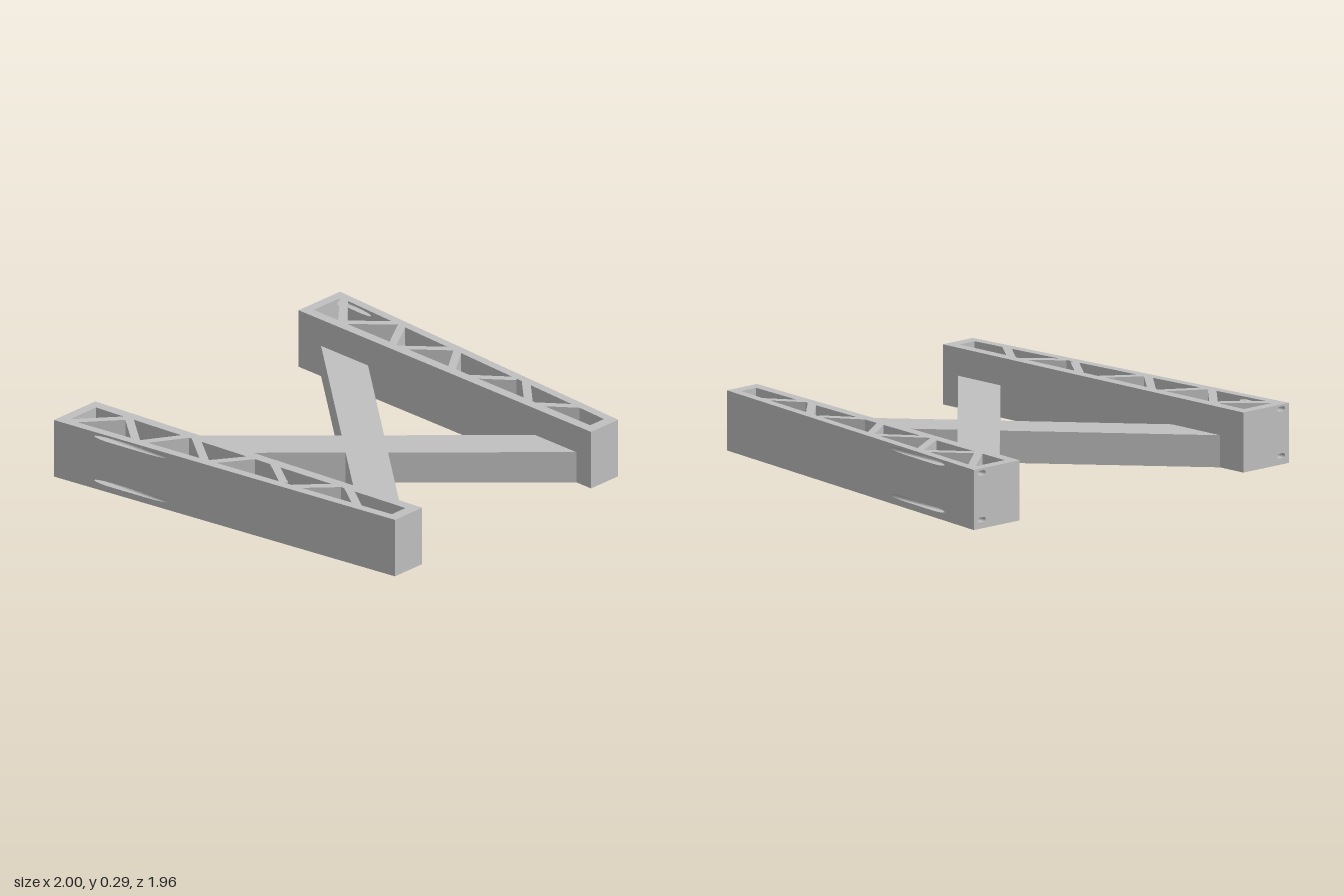
import * as THREE from 'three';

const H = 0.29;            // truss height
const BEAM_H = 0.155;      // cross brace height
const SPLIT = 0.95;        // x of the slot centres
const SLOT_Y = [0.042, 0.268];
const SLOT_R = 0.0115;
const SLOT_HALF = 0.024;

// z of the slanted outer face at a given x, and its thickness along z
const outerZ = (x) => 0.98 - ((x - 0.78) / 0.22) * 1.96;
const WALL_D = outerZ(SPLIT) + 0.93;

// Vertical prism from a plan outline of [x, z] points
function prism(points, height) {
  const shape = new THREE.Shape(points.map(([x, z]) => new THREE.Vector2(x, -z)));
  return new THREE.ExtrudeGeometry(shape, { depth: height, bevelEnabled: false }).rotateX(-Math.PI / 2);
}

// Wall with half slots along the edge x = SPLIT, running from frontZ(x) to backZ(x)
function slottedWall(side, farX, frontZ, backZ) {
  const dir = Math.sign(farX - SPLIT);
  const pts = [[farX, 0], [SPLIT, 0]];
  for (const y of SLOT_Y) {
    pts.push([SPLIT, y - SLOT_R]);
    for (let i = 0; i <= 8; i++) {
      const a = -Math.PI / 2 + (Math.PI * i) / 8;
      pts.push([SPLIT + dir * (SLOT_HALF - SLOT_R + SLOT_R * Math.cos(a)), y + SLOT_R * Math.sin(a)]);
    }
    pts.push([SPLIT, y + SLOT_R]);
  }
  pts.push([SPLIT, H], [farX, H]);
  const shape = new THREE.Shape(pts.map(([x, y]) => new THREE.Vector2(side * x, y)));
  const geo = new THREE.ExtrudeGeometry(shape, { depth: 1, bevelEnabled: false });
  const p = geo.attributes.position;
  for (let i = 0; i < p.count; i++) {
    const x = Math.abs(p.getX(i));
    p.setZ(i, p.getZ(i) > 0.5 ? frontZ(x) : backZ(x));
  }
  geo.computeVertexNormals();
  return geo;
}

// Diagonal strut between two plan points, its ends buried in the walls
function strut(side, [x0, z0, x1, z1]) {
  const a = new THREE.Vector2(side * x0, z0);
  const b = new THREE.Vector2(side * x1, z1);
  const d = b.clone().sub(a).normalize();
  a.addScaledVector(d, -0.022);
  b.addScaledVector(d, 0.022);
  const nx = -d.y * 0.02, nz = d.x * 0.02;
  return prism([[a.x + nx, a.y + nz], [b.x + nx, b.y + nz], [b.x - nx, b.y - nz], [a.x - nx, a.y - nz]], H);
}

const STRUTS = [
  [0.95, -0.91, 0.745, -0.735],
  [0.745, -0.735, 0.90, -0.555],
  [0.90, -0.50, 0.725, -0.395],
  [0.72, -0.33, 0.86, -0.155],
  [0.86, -0.11, 0.70, 0.0],
  [0.69, 0.14, 0.80, 0.29],
  [0.80, 0.38, 0.67, 0.51],
  [0.66, 0.58, 0.765, 0.725],
];

export function createModel() {
  const model = new THREE.Group();
  const grey = new THREE.MeshStandardMaterial({ color: 0xc0c0c0 });
  grey.name = 'light grey';

  const add = (parent, name, geo) => {
    const mesh = new THREE.Mesh(geo, grey);
    mesh.name = name;
    parent.add(mesh);
  };

  // Tapered trusses on both sides
  for (const side of [1, -1]) {
    const truss = new THREE.Group();
    truss.name = side > 0 ? 'leftTruss' : 'rightTruss';
    model.add(truss);

    // Inner wall, front wall and front outer corner
    const frame = [
      [0.59, 0.98], [0.78, 0.98], [0.78, 0.98 - WALL_D], [0.741, 0.925],
      [0.645, 0.925], [0.76, -0.93], [0.76, -0.98], [0.71, -0.98],
    ];
    add(truss, 'innerAndFrontWall', prism(frame.map(([x, z]) => [side * x, z]), H));

    // Outer wall, rear corner and rear wall share the slots bored along z
    add(truss, 'outerWall', slottedWall(side, 0.78, outerZ, (x) => outerZ(x) - WALL_D));
    add(truss, 'rearCorner', slottedWall(side, 1.0, outerZ, () => -0.98));
    add(truss, 'rearWall', slottedWall(side, 0.76, () => -0.93, () => -0.98));

    STRUTS.forEach((s, i) => add(truss, `strut${i + 1}`, strut(side, s)));
  }

  // Low X-shaped brace, its four ends cut to the slant of the inner walls
  const cz = 0.083, half = 0.147, slope = 1.092;
  const wallX = (z) => 0.61 + (0.12 * (0.98 - z)) / 1.96;
  // Point where an arm edge z = c + m x meets the inner wall
  const end = (c, m) => {
    const x = wallX(c) / (1 + (0.12 / 1.96) * m);
    return [x, c + m * x];
  };
  const rightHalf = [
    [0, cz - half], end(cz - half, -slope), end(cz + half, -slope),
    [half / slope, cz],
    end(cz - half, slope), end(cz + half, slope), [0, cz + half],
  ];
  const leftHalf = rightHalf.slice(1, -1).reverse().map(([x, z]) => [-x, z]);
  add(model, 'crossBrace', prism([...rightHalf, ...leftHalf], BEAM_H));

  return model;
}
